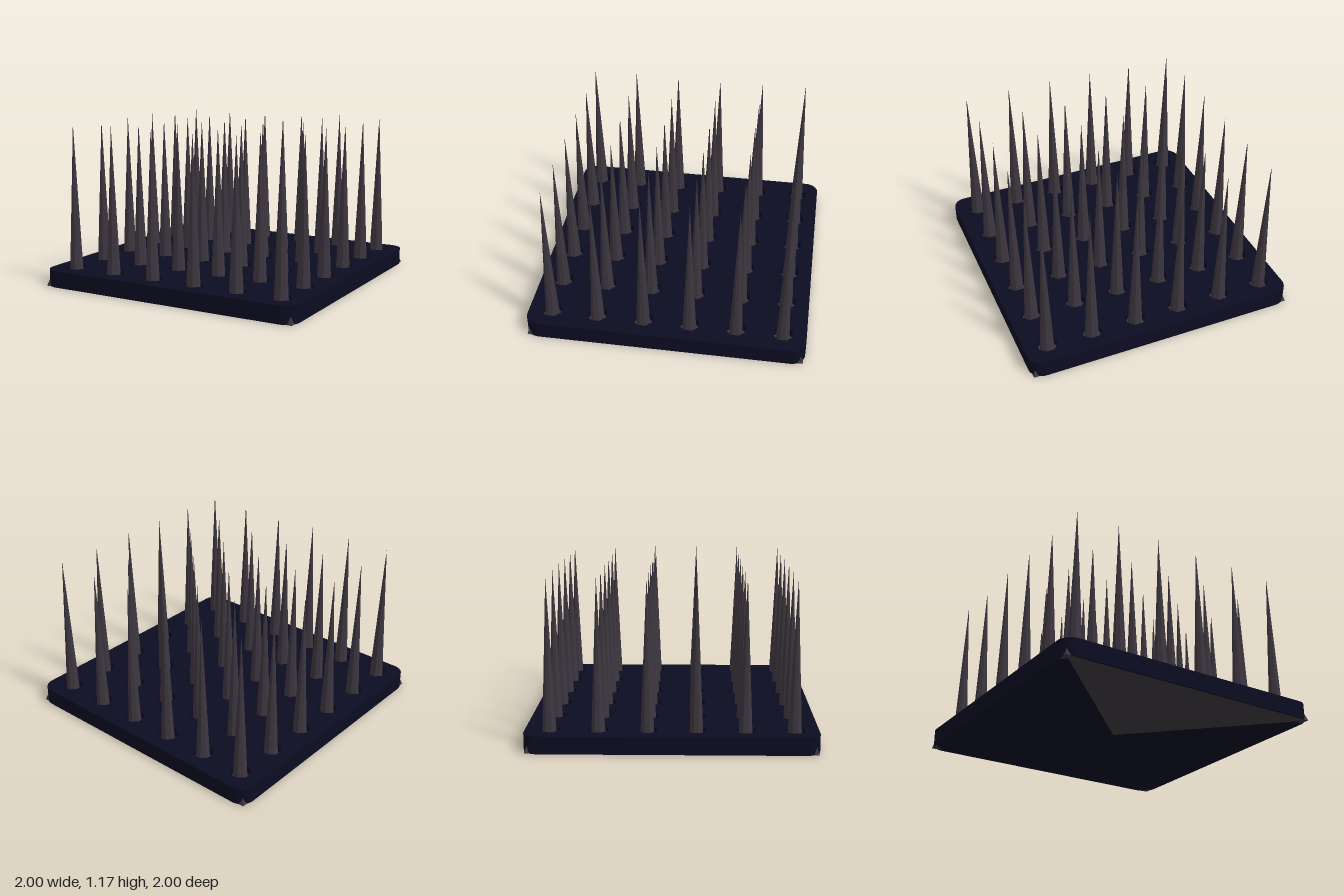
import * as THREE from 'three';

const navy = new THREE.MeshStandardMaterial({ name: 'navy base', color: 0x0c0c22, flatShading: true });
const grey = new THREE.MeshStandardMaterial({ name: 'dark grey metal', color: 0x3d373f, flatShading: true });

const SLAB_TOP = 0.125, FLOOR = 0.06, TIP = 1.17, COUNT = 6, PITCH = 1 / 3;

// Square outline with rounded corners
function roundedSquare(h, r) {
  const s = new THREE.Shape();
  s.absarc(h - r, h - r, r, 0, Math.PI / 2);
  s.absarc(r - h, h - r, r, Math.PI / 2, Math.PI);
  s.absarc(r - h, r - h, r, Math.PI, Math.PI * 1.5);
  s.absarc(h - r, r - h, r, Math.PI * 1.5, Math.PI * 2);
  s.closePath();
  return s;
}

// Eight-sided socket outline with flats on the axes
function octagon(x, y, r) {
  const pts = [];
  for (let i = 0; i < 8; i++) {
    const a = -(i + 0.5) * Math.PI / 4;
    pts.push(new THREE.Vector2(x + r * Math.cos(a), y + r * Math.sin(a)));
  }
  return new THREE.Path(pts);
}

function slabLayer(shape, y0, y1) {
  const g = new THREE.ExtrudeGeometry(shape, { depth: y1 - y0, bevelEnabled: false, curveSegments: 4 });
  return g.rotateX(-Math.PI / 2).translate(0, y0, 0);
}

export function createModel() {
  const group = new THREE.Group();
  const add = (name, geometry, material) => {
    const mesh = new THREE.Mesh(geometry, material);
    mesh.name = name;
    group.add(mesh);
    return mesh;
  };

  const centres = [];
  for (let i = 0; i < COUNT; i++) {
    for (let j = 0; j < COUNT; j++) {
      centres.push([(i - (COUNT - 1) / 2) * PITCH, (j - (COUNT - 1) / 2) * PITCH]);
    }
  }

  // Solid lower slab and socketed upper slab
  add('lowerSlab', slabLayer(roundedSquare(1, 0.1), 0.002, FLOOR), navy);
  const upper = roundedSquare(1, 0.1);
  centres.forEach(([x, z]) => upper.holes.push(octagon(x, -z, 0.075)));
  add('upperSlab', slabLayer(upper, FLOOR, SLAB_TOP), navy);

  // Inner plate: its tapered corners poke out of the rounded slab corners
  const plate = new THREE.CylinderGeometry(0.968 * Math.SQRT2, 0.987 * Math.SQRT2, FLOOR, 4, 1, true);
  add('platePoints', plate.rotateY(Math.PI / 4).translate(0, FLOOR / 2 + 0.002, 0), grey);

  // Underside corner tips
  const tip = new THREE.Shape([[0.987, 0.987], [0.9, 0.987], [0.987, 0.9]].map(p => new THREE.Vector2(...p)));
  for (let k = 0; k < 4; k++) {
    const g = new THREE.ShapeGeometry(tip).rotateX(Math.PI / 2).rotateY(k * Math.PI / 2);
    add('cornerTip', g.translate(0, 0.0015, 0), grey);
  }

  // Exposed quarter of the plate on the underside
  const quarter = new THREE.Shape([[0, 0], [0.987, 0.987], [-0.987, 0.987]].map(p => new THREE.Vector2(...p)));
  add('undersidePanel', new THREE.ShapeGeometry(quarter).rotateX(Math.PI / 2), grey);

  // Spikes standing on the grey socket floors
  const spikeGeo = new THREE.ConeGeometry(0.052, TIP - FLOOR, 8, 1, true)
    .rotateY(Math.PI / 8).translate(0, (TIP + FLOOR) / 2, 0);
  const floorGeo = new THREE.CircleGeometry(0.075, 8, Math.PI / 8).rotateX(-Math.PI / 2);
  centres.forEach(([x, z]) => {
    add('spike', spikeGeo, grey).position.set(x, 0, z);
    add('socketFloor', floorGeo, grey).position.set(x, FLOOR + 0.002, z);
  });

  return group;
}
